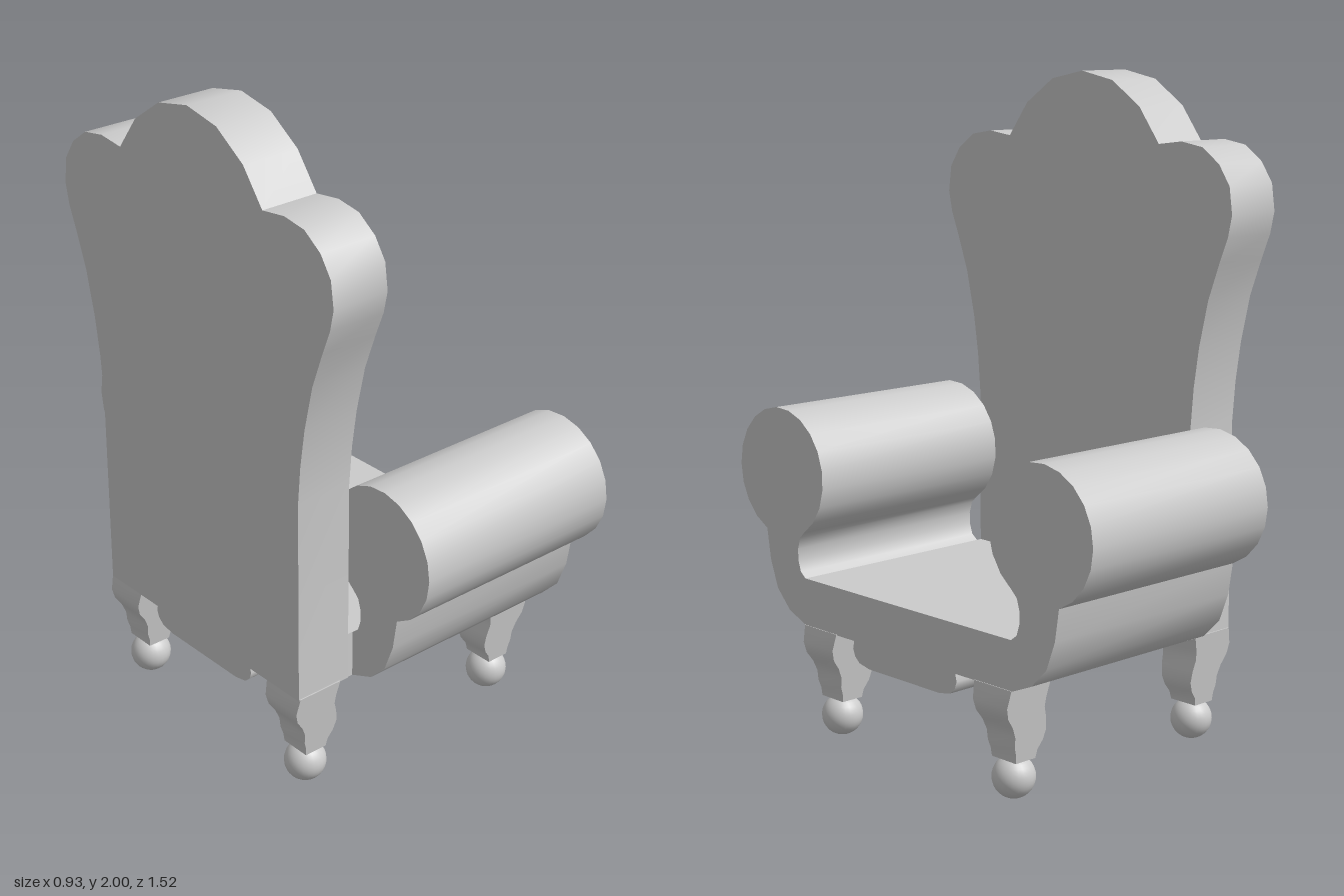
import * as THREE from 'three';
import { toCreasedNormals } from 'three/addons/utils/BufferGeometryUtils.js';

const material = new THREE.MeshStandardMaterial({ color: 0xcccccc, side: THREE.DoubleSide });

function addMesh(group, geometry, name) {
  const mesh = new THREE.Mesh(geometry, material);
  mesh.name = name;
  group.add(mesh);
  return mesh;
}

// Extrude a (z, y) outline along x, from x0 to x1
function extrudeAlongX(points, x0, x1) {
  const shape = new THREE.Shape(points.map(([z, y]) => new THREE.Vector2(-z, y)));
  const geo = new THREE.ExtrudeGeometry(shape, { depth: x1 - x0, bevelEnabled: false });
  geo.rotateY(Math.PI / 2).translate(x0, 0, 0);
  return toCreasedNormals(geo, 0.6);
}

// Complete a half outline by mirroring it in z
const mirrored = (half) => [...half, ...half.filter(([z]) => z > 0).reverse().map(([z, y]) => [-z, y])];

// Cabriole leg: S-shaped side outline, tapering in width towards the foot
function legGeometry() {
  const outline = [
    [0.302, 0.345], [0.313, 0.30], [0.316, 0.27], [0.306, 0.235], [0.302, 0.20], [0.312, 0.17],
    [0.33, 0.145], [0.335, 0.12], [0.41, 0.12], [0.412, 0.145], [0.42, 0.17], [0.421, 0.20],
    [0.434, 0.232], [0.455, 0.262], [0.463, 0.295], [0.452, 0.345],
  ];
  const shape = new THREE.Shape(outline.map(([x, y]) => new THREE.Vector2(x, y)));
  const geo = new THREE.ExtrudeGeometry(shape, { depth: 0.15, bevelEnabled: false });
  geo.translate(0, 0, -0.075);
  const pos = geo.attributes.position;
  for (let i = 0; i < pos.count; i++) {
    const t = (pos.getY(i) - 0.12) / 0.225;
    pos.setZ(i, pos.getZ(i) * (0.65 + 0.35 * t));
  }
  return toCreasedNormals(geo, 0.6);
}

export function createModel() {
  const group = new THREE.Group();
  group.name = 'armchair';

  // Tall scalloped back
  const back = mirrored([
    [0.45, 0.34], [0.45, 0.98], [0.46, 1.1], [0.478, 1.22], [0.51, 1.36], [0.55, 1.47], [0.58, 1.545],
    [0.594, 1.61], [0.583, 1.69], [0.543, 1.75], [0.48, 1.795], [0.4, 1.808], [0.312, 1.797],
    [0.235, 1.9], [0.125, 1.975], [0, 2],
  ]);
  addMesh(group, extrudeAlongX(back, -0.455, -0.27), 'backrest');

  // Seat slab
  const seat = addMesh(group, new THREE.BoxGeometry(0.9, 0.147, 0.9), 'seat');
  seat.position.set(0, 0.4165, 0);

  // Shallow rounded apron under the seat
  const apron = mirrored([
    [0.222, 0.345], [0.228, 0.32], [0.22, 0.298], [0.2, 0.28], [0.155, 0.271],
  ]);
  addMesh(group, extrudeAlongX(apron, -0.45, 0.45), 'apron');

  // Scroll arms: flared support below a large roll
  const arm = [[0.45, 0.49], [0.45, 0.343], [0.53, 0.376], [0.588, 0.435], [0.62, 0.52]];
  const steps = 18;
  for (let i = 0; i <= steps; i++) {
    const a = THREE.MathUtils.degToRad(-68 + (306 * i) / steps);
    arm.push([0.56 + 0.2 * Math.cos(a), 0.8 + 0.2 * Math.sin(a)]);
  }
  arm.push([0.473, 0.612], [0.484, 0.575], [0.483, 0.54], [0.472, 0.507]);
  for (const side of [1, -1]) {
    const outline = arm.map(([z, y]) => [z * side, y]);
    addMesh(group, extrudeAlongX(outline, -0.253, 0.45), side > 0 ? 'leftArm' : 'rightArm');
  }

  // Four legs on ball feet, knees pointing outward to front and back
  const leg = legGeometry();
  const ball = new THREE.SphereGeometry(0.063, 24, 16);
  for (const end of [1, -1]) {
    for (const side of [1, -1]) {
      const unit = new THREE.Group();
      unit.name = 'leg';
      addMesh(unit, leg, 'cabrioleLeg');
      addMesh(unit, ball, 'ballFoot').position.set(0.372, 0.064, 0);
      unit.rotation.y = end > 0 ? 0 : Math.PI;
      unit.position.z = 0.379 * side;
      group.add(unit);
    }
  }
  return group;
}
